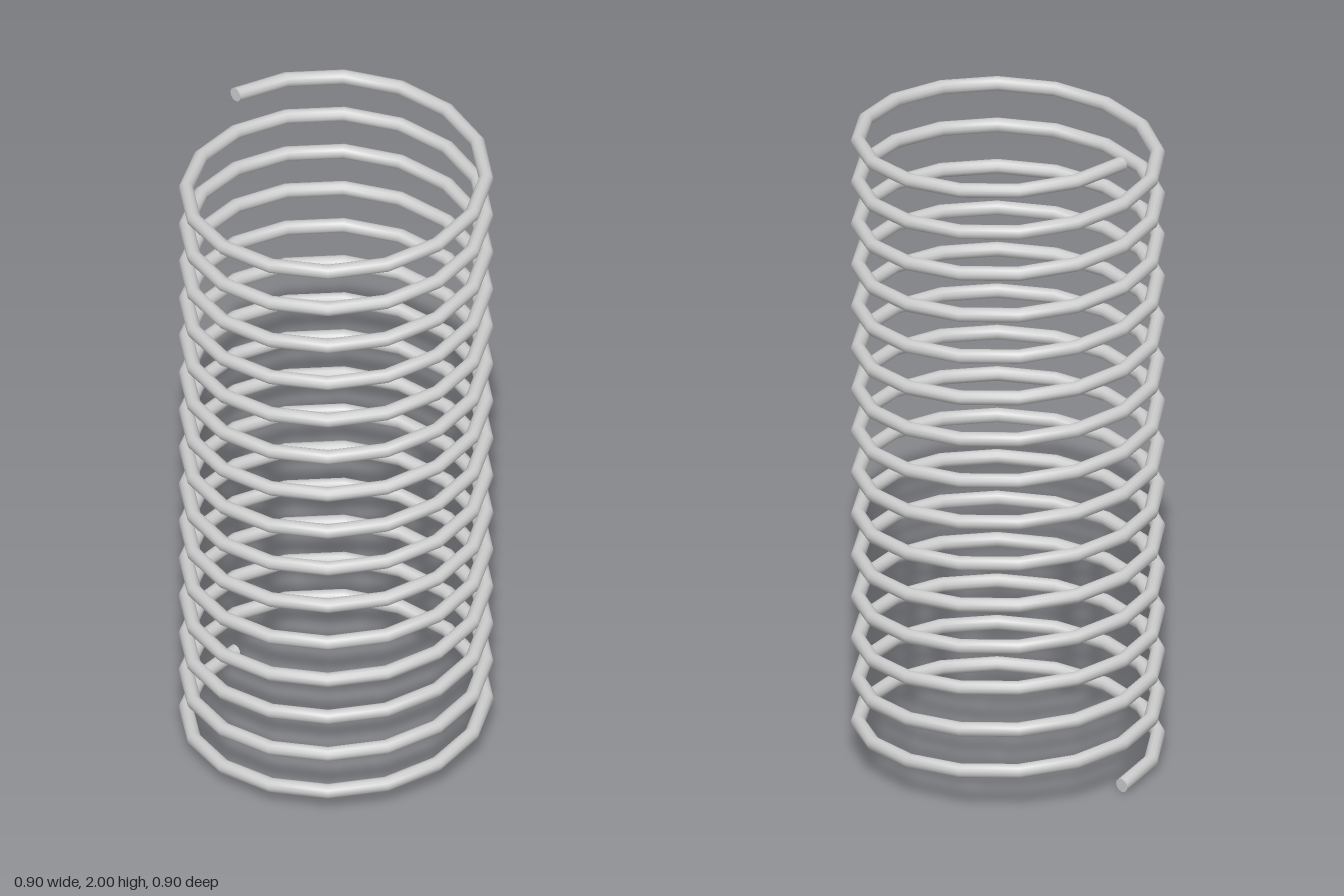
import * as THREE from 'three';

const TURNS = 15, STEPS = 16, SIDES = 12;
const COIL = 0.428, WIRE = 0.021, HEIGHT = 2;

// Helix rising from the right (-x) side, passing the front first
class Helix extends THREE.Curve {
  getPoint(t, target = new THREE.Vector3()) {
    const a = t * TURNS * Math.PI * 2;
    return target.set(-COIL * Math.cos(a), WIRE + t * (HEIGHT - 2 * WIRE), COIL * Math.sin(a));
  }
  // The helix has constant speed, so arc length equals the parameter
  getPointAt(u, target) {
    return this.getPoint(u, target);
  }
  getTangentAt(u, target = new THREE.Vector3()) {
    const a = u * TURNS * Math.PI * 2, w = COIL * TURNS * Math.PI * 2;
    return target.set(w * Math.sin(a), HEIGHT - 2 * WIRE, w * Math.cos(a)).normalize();
  }
}

export function createModel() {
  const group = new THREE.Group();
  group.name = 'coilSpring';
  const material = new THREE.MeshStandardMaterial({ color: 0xcccccc });
  const helix = new Helix();

  // Wire: 16 straight pieces per turn
  const wire = new THREE.Mesh(new THREE.TubeGeometry(helix, TURNS * STEPS, WIRE, SIDES, false), material);
  wire.name = 'springWire';
  group.add(wire);

  // Flat cut ends of the wire
  for (const [name, u, dir] of [['bottomEnd', 0, -1], ['topEnd', 1, 1]]) {
    const end = new THREE.Mesh(new THREE.CircleGeometry(WIRE, SIDES), material);
    end.name = name;
    end.position.copy(helix.getPointAt(u));
    end.quaternion.setFromUnitVectors(new THREE.Vector3(0, 0, 1), helix.getTangentAt(u).multiplyScalar(dir));
    group.add(end);
  }
  return group;
}
